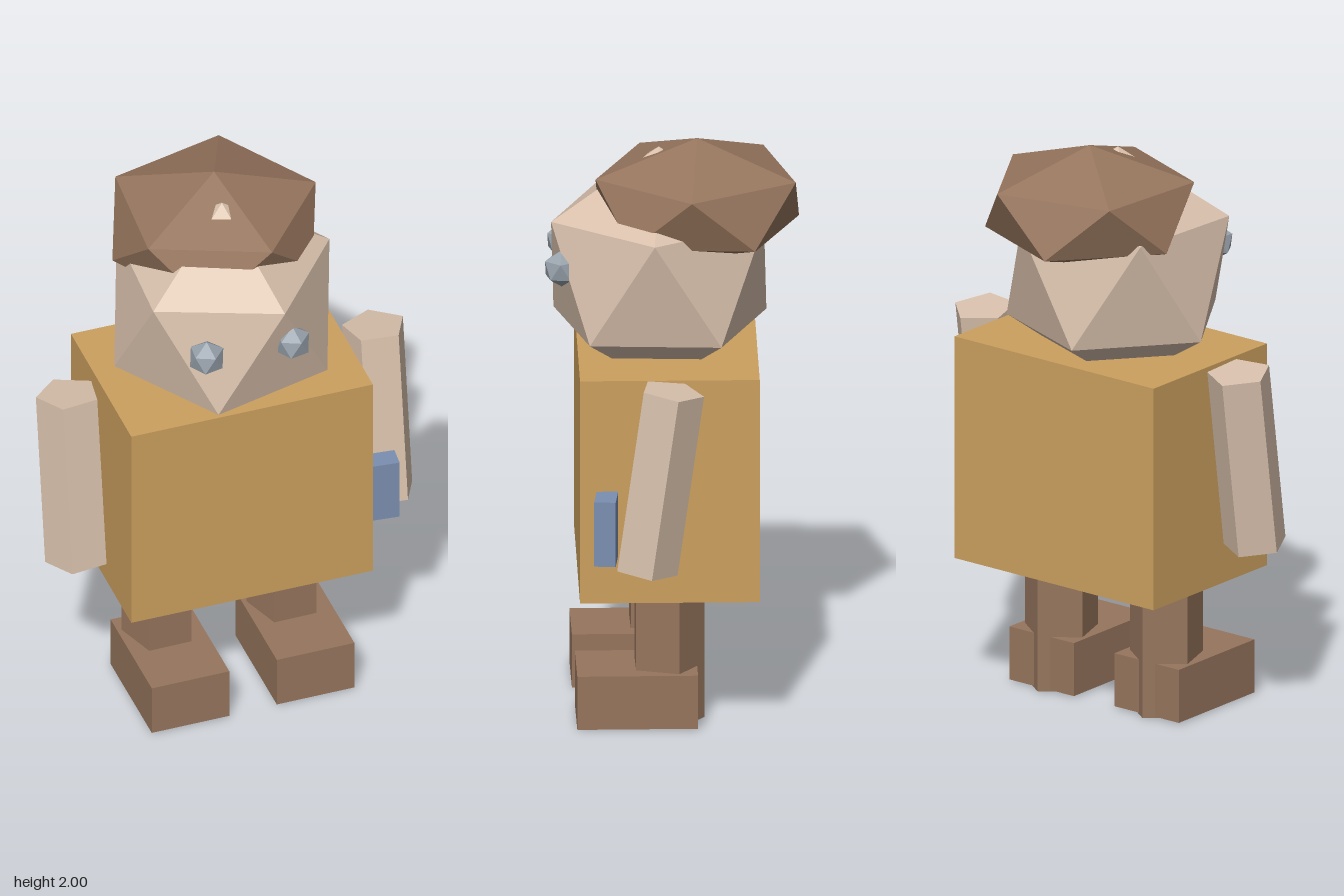
import * as THREE from 'three';

const flat = (name, color) => new THREE.MeshStandardMaterial({ name, color, flatShading: true });

export function createModel() {
  const model = new THREE.Group();
  const skin = flat('skin', 0xd8c0ac);
  const brown = flat('brown', 0x96755d);
  const ochre = flat('ochre', 0xcca05e);
  const blue = flat('blue', 0x7b8fb0);
  const grey = flat('grey', 0x98a2ac);

  const add = (name, geometry, material, position, rotation = [0, 0, 0]) => {
    const mesh = new THREE.Mesh(geometry, material);
    mesh.name = name;
    mesh.position.set(...position);
    mesh.rotation.set(...rotation);
    model.add(mesh);
    return mesh;
  };

  // Icosahedron standing on a corner, with one upper-ring corner facing front
  const gem = (radius, yaw) =>
    new THREE.IcosahedronGeometry(radius, 0)
      .rotateX(-Math.atan((1 + Math.sqrt(5)) / 2))
      .rotateY(yaw);

  // Five-sided post with a flat front and a ridge at the back
  const post = (radius, height) =>
    new THREE.CylinderGeometry(radius, radius, height, 5).rotateY(Math.PI);

  // Torso
  add('torso', new THREE.BoxGeometry(0.87, 0.795, 0.61), ochre, [0, 0.878, 0.013], [0, -0.016, 0]);

  // Head and cap of hair
  add('head', gem(0.425, 0.24), skin, [-0.01, 1.54, 0.04]);
  const hair = gem(0.4, 0.225).scale(1, 0.53, 1);
  add('hair', hair, brown, [0.01, 1.788, -0.09]);

  // Eyes
  add('rightEye', gem(0.065, 0.2), grey, [-0.183, 1.577, 0.355]);
  add('leftEye', gem(0.065, 0.2), grey, [0.12, 1.577, 0.375]);

  // Arms lean forward at the bottom; legs run down behind the shoes
  const sides = [
    { side: 'right', armX: -0.556, armZ: 0.055, yaw: 0.12, legX: -0.23 },
    { side: 'left', armX: 0.551, armZ: 0.063, yaw: -0.15, legX: 0.223 },
  ];
  for (const { side, armX, armZ, yaw, legX } of sides) {
    add(side + 'Arm', post(0.111, 0.645), skin, [armX, 0.957, armZ], [-0.14, yaw, 0]);
    add(side + 'Leg', post(0.13, 0.6), brown, [legX, 0.3, 0.024]);
    add(side + 'Shoe', new THREE.BoxGeometry(0.28, 0.19, 0.41), brown, [legX, 0.1, 0.125], [0, -0.01, 0]);
  }

  // Small box at the left hip
  add('hipBox', new THREE.BoxGeometry(0.13, 0.23, 0.073), blue, [0.483, 0.765, 0.238], [0, -0.11, 0]);

  return model;
}
